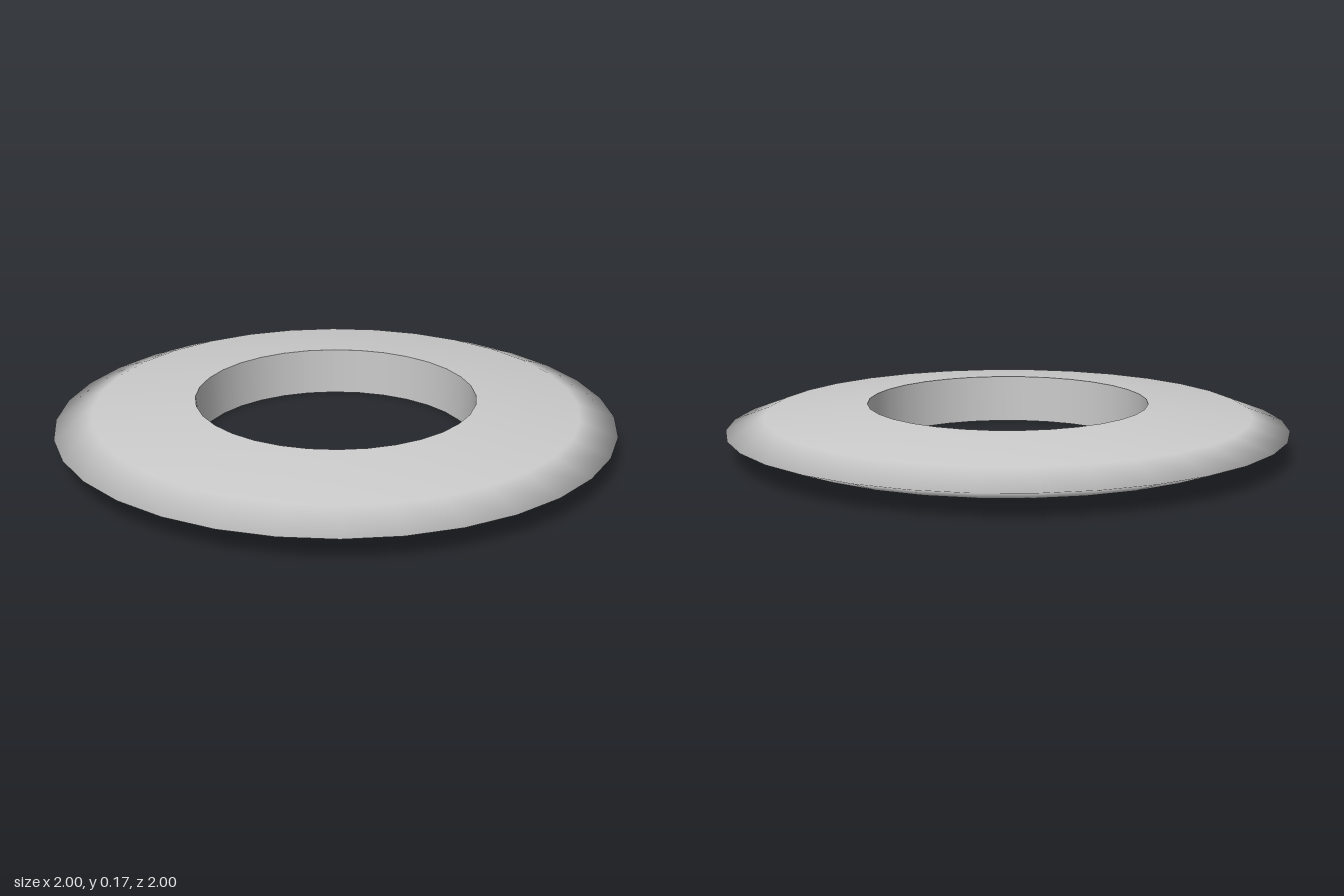
import * as THREE from 'three';

const SIDES = 32;
const HALF = 0.1; // vertical radius of the flattened ellipsoid

export function createModel() {
  const group = new THREE.Group();
  group.name = 'ring';
  const material = new THREE.MeshStandardMaterial({ color: 0xcccccc });

  // Flattened ellipsoid profile in 30 degree steps, cut off at the hole
  const profile = [];
  for (let i = -2; i <= 2; i++) {
    const a = (i * Math.PI) / 6;
    profile.push(new THREE.Vector2(Math.cos(a), HALF * Math.sin(a)));
  }
  const lift = -profile[0].y;
  profile.forEach((p) => { p.y += lift; });

  const addLathe = (name, points) => {
    const mesh = new THREE.Mesh(new THREE.LatheGeometry(points, SIDES), material);
    mesh.name = name;
    group.add(mesh);
  };

  // Smooth outer body, bottom to top
  addLathe('ringBody', profile);
  // Hole wall, top to bottom so that it faces the axis
  addLathe('holeWall', [profile[4].clone(), profile[0].clone()]);

  return group;
}
